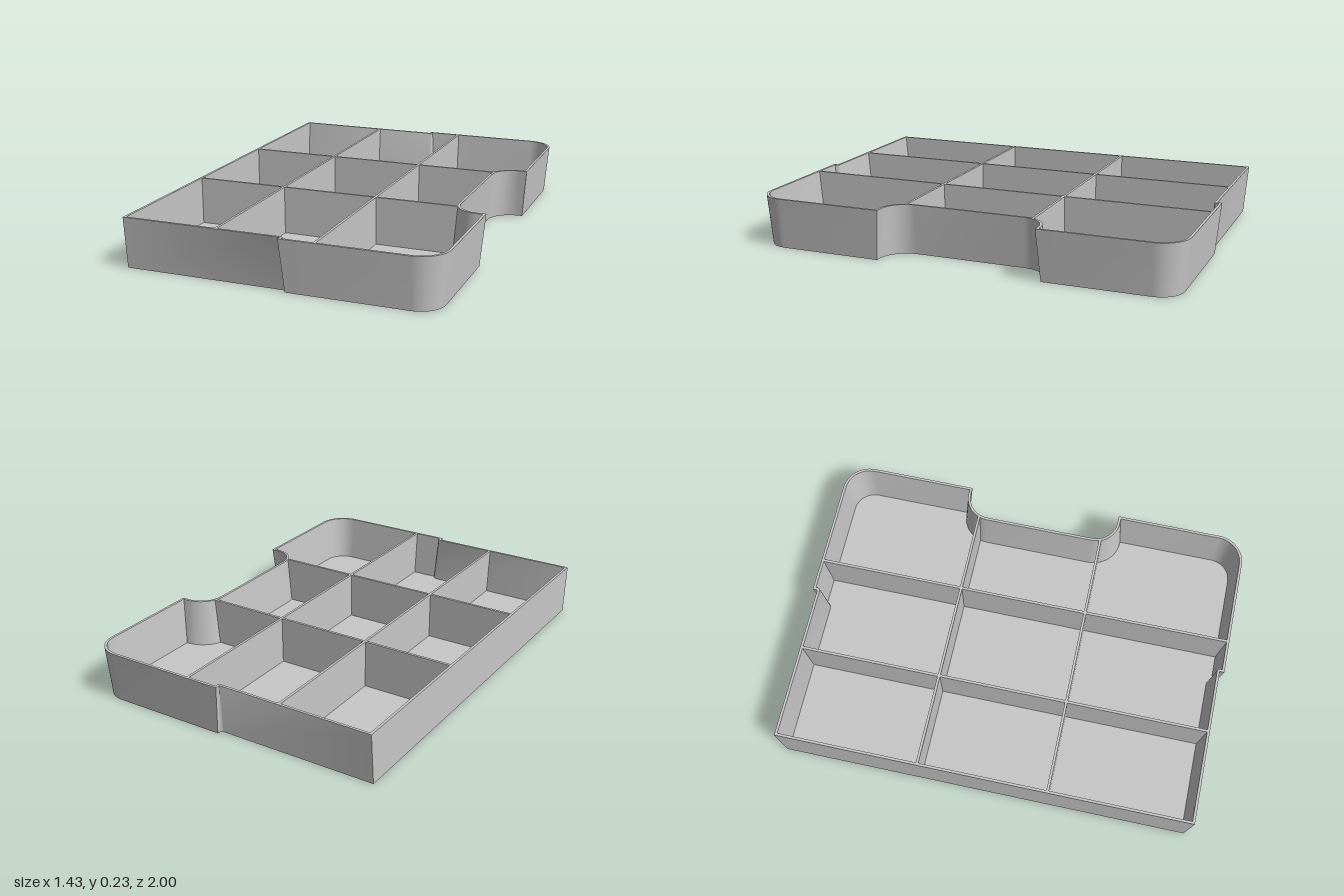
import * as THREE from 'three';
import { toCreasedNormals } from 'three/addons/utils/BufferGeometryUtils.js';

const H = 0.235, TAPER = 0.019, WALL = 0.012, FLOOR = 0.012;
const NARROW = 0.978, WIDE = 1; // half widths either side of the step
const taperAt = (y) => TAPER * (1 - y / H);

// Tray outline as [x, z] points at height y, moved inward by t; the left wall is upright
function outline(y, t) {
  const d = taperAt(y) + t;
  const half = [[-0.716 + t, NARROW - d]];
  const arc = (cx, cz, r, a0, a1) => {
    for (let i = 0; i <= 12; i++) {
      const a = a0 + (a1 - a0) * i / 12;
      half.push([cx + r * Math.cos(a), cz + r * Math.sin(a)]);
    }
  };
  // Step in the side wall, rounded where it is offset
  const end = -Math.asin(Math.max(0, 1 - (WIDE - NARROW) / Math.max(d, 0.001)));
  arc(0.022, NARROW, d, -Math.PI / 2, end);
  half.push([0.022 + d * Math.cos(end), WIDE - d]);
  arc(0.586, 0.87, 0.13 - d, Math.PI / 2, 0); // outer corner
  half.push([0.716 - d, 0.37 + d]);
  arc(0.68, 0.262, 0.108 + d, Math.PI / 2, Math.PI); // inner corner of the notch
  return [...half.map(([x, z]) => [x, -z]), ...half.reverse()];
}

// Skin through rings of equal point count
function loft(rings) {
  const pos = [];
  for (let k = 0; k < rings.length - 1; k++) {
    const lo = rings[k], hi = rings[k + 1], n = lo.pts.length;
    for (let i = 0; i < n; i++) {
      const j = (i + 1) % n;
      const a = [lo.pts[i][0], lo.y, lo.pts[i][1]], b = [lo.pts[j][0], lo.y, lo.pts[j][1]];
      const c = [hi.pts[i][0], hi.y, hi.pts[i][1]], e = [hi.pts[j][0], hi.y, hi.pts[j][1]];
      pos.push(...a, ...c, ...b, ...b, ...c, ...e);
    }
  }
  const g = new THREE.BufferGeometry();
  g.setAttribute('position', new THREE.Float32BufferAttribute(pos, 3));
  return toCreasedNormals(g, 0.6);
}

// Flat face filling an outline, looking up (1) or down (-1)
function plate(pts, y, dir) {
  const shape = new THREE.Shape(pts.map(([x, z]) => new THREE.Vector2(x, -dir * z)));
  return new THREE.ShapeGeometry(shape).rotateX(-dir * Math.PI / 2).translate(0, y, 0);
}

// Thin upright panel in the xy plane; ends given at the base and at the top
function panel(a0, b0, a1, b1) {
  const shape = new THREE.Shape([[a0, FLOOR], [b0, FLOOR], [b1, H], [a1, H]]
    .map(([x, y]) => new THREE.Vector2(x, y)));
  return new THREE.ExtrudeGeometry(shape, { depth: WALL, bevelEnabled: false })
    .translate(0, 0, -WALL / 2);
}

export function createModel() {
  const model = new THREE.Group();
  model.name = 'dividedTray';
  const grey = new THREE.MeshStandardMaterial({ color: 0xc7c7c7 });
  grey.name = 'lightGrey';
  const add = (name, geometry) => {
    const mesh = new THREE.Mesh(geometry, grey);
    mesh.name = name;
    model.add(mesh);
  };

  // Leaning outer wall, with rim and inner face
  const base = outline(0, 0), inside = outline(FLOOR, WALL);
  add('outerWall', loft([
    { y: 0, pts: base },
    { y: H, pts: outline(H, 0) },
    { y: H, pts: outline(H, WALL) },
    { y: FLOOR, pts: inside },
  ]));
  add('floor', plate(inside, FLOOR, 1));
  add('underside', plate(base, 0, -1));

  // Dividers, ending inside the wall thickness
  const lean = taperAt(FLOOR), mid = WALL / 2;
  for (const [x, z] of [[-0.275, NARROW], [0.18, WIDE]]) {
    const top = z - mid, low = top - lean;
    add('crossDivider', panel(-low, low, -top, top).rotateY(Math.PI / 2).translate(x, 0, 0));
  }
  for (const side of [-1, 1]) {
    const top = 0.58 - mid, left = -0.716 + mid;
    add('longDivider', panel(left, top - lean, left, top).translate(0, 0, side * 0.304));
  }
  return model;
}
